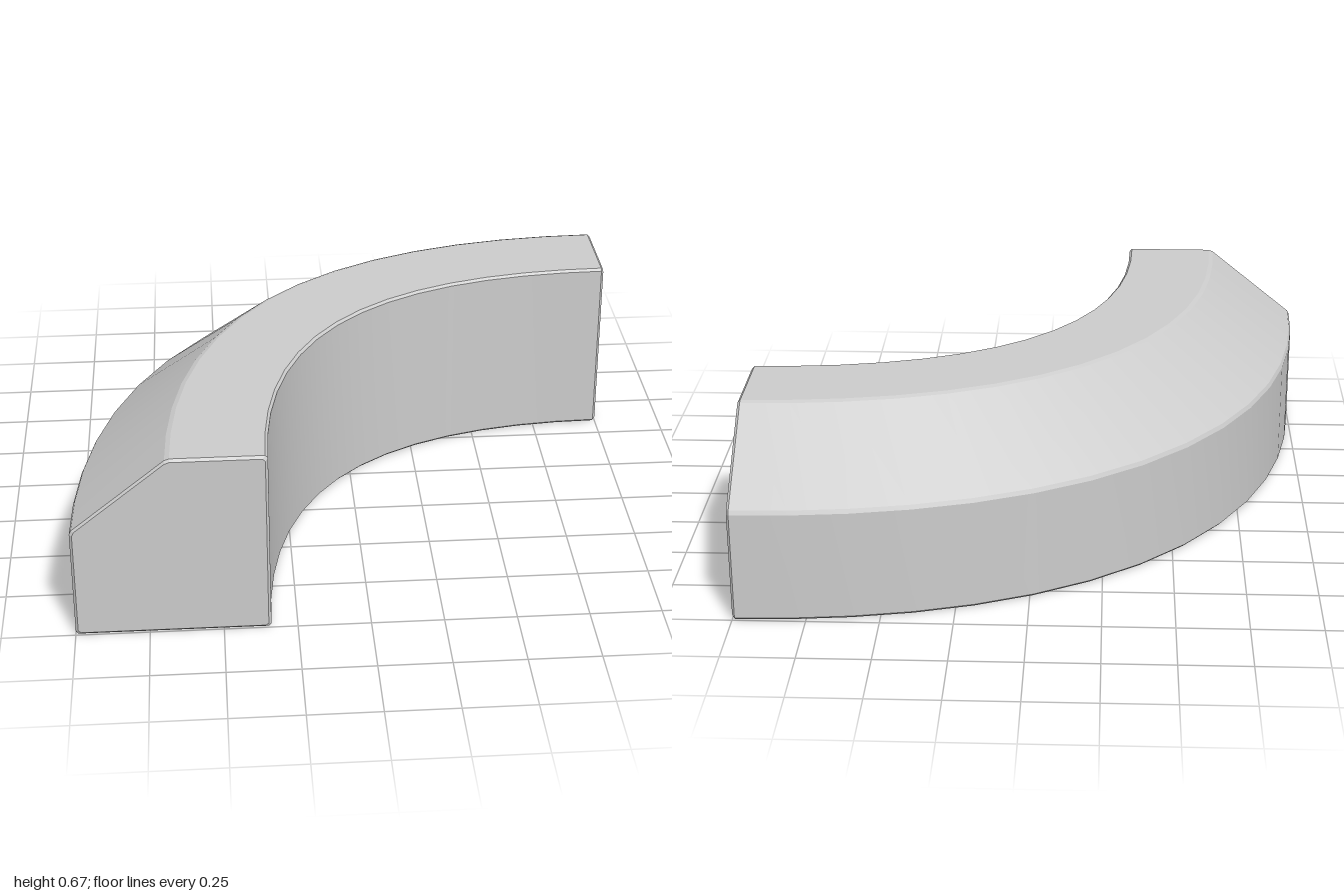
import * as THREE from 'three';
import { mergeGeometries } from 'three/addons/utils/BufferGeometryUtils.js';

const SEGMENTS = 15;
const BEVEL = 0.009;

// Cross-section as [outward offset, height], counterclockwise
const CORNERS = [[-0.33, 0], [0.33, 0], [0.33, 0.402], [0, 0.667], [-0.33, 0.667]];

// Cut every corner of a polygon by a small distance
function bevelCorners(points, d) {
  const toward = (p, q) => {
    const len = Math.hypot(q[0] - p[0], q[1] - p[1]);
    return [p[0] + (q[0] - p[0]) * d / len, p[1] + (q[1] - p[1]) * d / len];
  };
  return points.flatMap((p, i) => {
    const n = points.length;
    return [toward(p, points[(i + n - 1) % n]), toward(p, points[(i + 1) % n])];
  });
}

// Strip of quads between two or more rows of points, smooth inside the strip
function strip(rows) {
  const w = rows[0].length;
  const index = [];
  for (let i = 0; i < rows.length - 1; i++) {
    for (let j = 0; j < w - 1; j++) {
      const a = i * w + j;
      index.push(a, a + 1, a + w + 1, a, a + w + 1, a + w);
    }
  }
  return surface(rows.flat(), index);
}

// Flat convex cap
function cap(points, flip) {
  const index = [];
  for (let i = 1; i < points.length - 1; i++) {
    index.push(0, flip ? i + 1 : i, flip ? i : i + 1);
  }
  return surface(points, index);
}

function surface(points, index) {
  const geo = new THREE.BufferGeometry().setFromPoints(points);
  geo.setIndex(index);
  geo.computeVertexNormals();
  return geo;
}

export function createModel() {
  const group = new THREE.Group();
  group.name = 'curvedCorner';

  // Centre line of the quarter bend
  const R = 1.67, k = 0.64;
  const path = new THREE.CubicBezierCurve(
    new THREE.Vector2(1 - R, 1),
    new THREE.Vector2(1 - R, 1 - k * R),
    new THREE.Vector2(1 - k * R, 1 - R),
    new THREE.Vector2(1, 1 - R)
  );

  const profile = bevelCorners(CORNERS, BEVEL);
  const inset = profile.map(([o, y]) => [o * (1 - BEVEL / 0.33), 0.333 + (y - 0.333) * (1 - BEVEL / 0.333)]);

  // Place a cross-section on the path, shifted along its direction
  const section = (shape, u, shift = 0) => {
    const p = path.getPointAt(u), d = path.getTangentAt(u);
    return shape.map(([o, y]) => new THREE.Vector3(
      p.x + d.x * shift + d.y * o, y, p.y + d.y * shift - d.x * o));
  };

  const body = [];
  for (let i = 0; i <= SEGMENTS; i++) {
    const shift = i === 0 ? BEVEL : i === SEGMENTS ? -BEVEL : 0;
    body.push(section(profile, i / SEGMENTS, shift));
  }
  const start = section(inset, 0), end = section(inset, 1);

  // One strip per side of the profile keeps the long edges crisp
  const parts = [cap(start, true), cap(end, false)];
  profile.forEach((_, j) => {
    const n = (j + 1) % profile.length;
    const side = rows => strip(rows.map(r => [r[j], r[n]]));
    parts.push(side(body), side([start, body[0]]), side([body[SEGMENTS], end]));
  });

  const mesh = new THREE.Mesh(
    mergeGeometries(parts),
    new THREE.MeshStandardMaterial({ color: 0xcccccc })
  );
  mesh.name = 'curvedKerb';
  group.add(mesh);
  return group;
}
